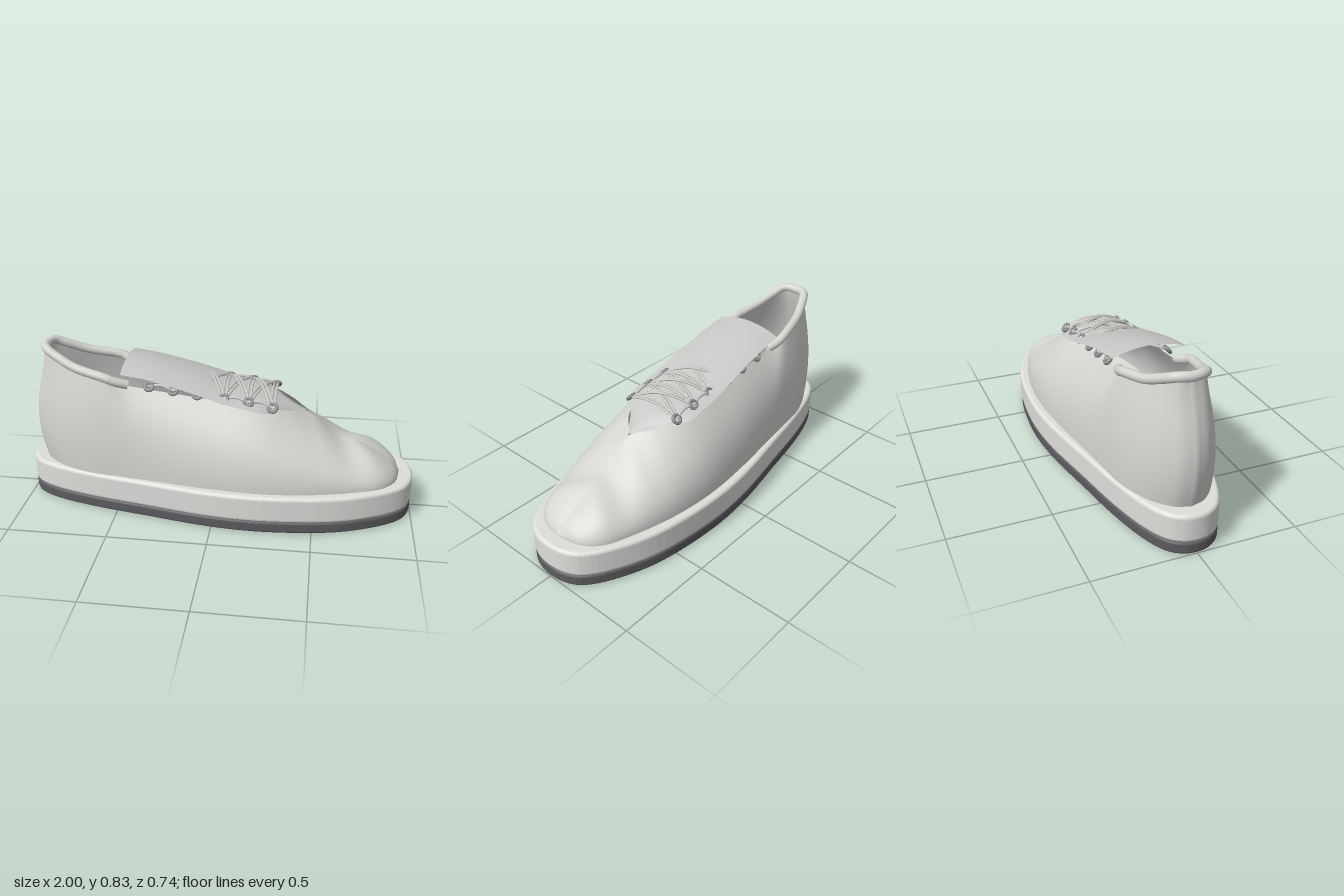
import * as THREE from 'three';

const mat = (name, color, side = THREE.FrontSide) => {
  const m = new THREE.MeshStandardMaterial({ color, side });
  m.name = name;
  return m;
};
const V = (p) => new THREE.Vector3(...p);
const curve = (pts) => new THREE.CatmullRomCurve3(pts.map(V), false, 'catmullrom', 0.5);

// Smooth surface from a rule f(u, v) -> [x, y, z]
function surface(f, nu, nv) {
  const pos = [], idx = [];
  for (let i = 0; i <= nu; i++) {
    for (let j = 0; j <= nv; j++) {
      pos.push(...f(i / nu, j / nv));
      if (i < nu && j < nv) {
        const a = i * (nv + 1) + j, b = a + nv + 1;
        idx.push(a, b, a + 1, b, b + 1, a + 1);
      }
    }
  }
  const g = new THREE.BufferGeometry();
  g.setAttribute('position', new THREE.Float32BufferAttribute(pos, 3));
  g.setIndex(idx);
  g.computeVertexNormals();
  return g;
}

export function createModel() {
  const shoe = new THREE.Group();
  shoe.name = 'shoe';
  const leather = mat('upper grey', 0xd4d4d1, THREE.DoubleSide);
  const tongueGrey = mat('tongue grey', 0xc8c8c6, THREE.DoubleSide);
  const soleWhite = mat('midsole white', 0xdededb);
  const rubber = mat('outsole dark grey', 0x5c5c60);
  const laceGrey = mat('lace light grey', 0xcfcfcc);
  const metal = mat('eyelet grey', 0x8e8e90);
  const add = (name, geo, material, parent = shoe) => {
    const m = new THREE.Mesh(geo, material);
    m.name = name;
    parent.add(m);
    return m;
  };

  // Sole slabs: one footprint, extruded with rounded edges
  const half = [[-1, 0], [-0.985, 0.07], [-0.93, 0.135], [-0.8, 0.195], [-0.6, 0.248], [-0.35, 0.295],
    [-0.05, 0.35], [0.2, 0.37], [0.45, 0.355], [0.65, 0.318], [0.83, 0.245], [0.94, 0.17], [0.987, 0.09], [1, 0]];
  const loop = [...half, ...half.slice(1, -1).reverse().map(([x, z]) => [x, -z])];
  const outline = new THREE.CatmullRomCurve3(loop.map(([x, z]) => new THREE.Vector3(x, z, 0)), true, 'catmullrom', 0.5);
  const footprint = new THREE.Shape(outline.getPoints(112).slice(0, -1).map((p) => new THREE.Vector2(p.x, p.y)));
  const slab = (name, y0, y1, r, material, s = 1) => {
    const g = new THREE.ExtrudeGeometry(footprint, {
      depth: y1 - y0 - 2 * r, bevelEnabled: true, bevelThickness: r, bevelSize: r, bevelOffset: -r, bevelSegments: 4,
    });
    g.rotateX(-Math.PI / 2).translate(0, y0 + r, 0).scale(1, 1, s);
    add(name, g, material);
  };
  slab('outsole', 0, 0.06, 0.012, rubber, 0.988);
  slab('midsole', 0.06, 0.2, 0.018, soleWhite);

  // Upper: each rib rises from the base line to the rim or the toe ridge
  const base = curve([[-0.93, 0.2, 0], [-0.9, 0.2, 0.08], [-0.8, 0.2, 0.165], [-0.65, 0.2, 0.225],
    [-0.48, 0.2, 0.25], [-0.3, 0.2, 0.275], [-0.05, 0.2, 0.31], [0.2, 0.2, 0.33], [0.4, 0.2, 0.32],
    [0.55, 0.2, 0.295], [0.7, 0.2, 0.255], [0.83, 0.2, 0.205], [0.905, 0.2, 0.12], [0.93, 0.2, 0]]);
  const rim = curve([[-0.89, 0.8, 0], [-0.87, 0.8, 0.065], [-0.8, 0.77, 0.1], [-0.7, 0.735, 0.135],
    [-0.56, 0.705, 0.165], [-0.44, 0.66, 0.145], [-0.1, 0.62, 0.15], [0.2, 0.585, 0.15], [0.36, 0.545, 0.09],
    [0.46, 0.505, 0], [0.6, 0.39, 0], [0.72, 0.355, 0], [0.87, 0.27, 0], [0.925, 0.21, 0]]);
  const upper = (u, v) => {
    const s = Math.abs(2 * u - 1), side = u < 0.5 ? -1 : 1;
    const b = base.getPoint(s), t = rim.getPoint(s);
    b.z = Math.max(0, b.z);
    t.z = Math.max(0, t.z);
    const h = t.y - 0.2;
    const heel = Math.max(0, (-b.x - 0.5) / 0.45);
    const toe = THREE.MathUtils.smoothstep(b.x, 0.5, 0.85);
    const p1 = b.clone();
    p1.x -= heel * 0.09;
    p1.y += 0.47 * h;
    const p2 = t.clone().lerp(b, 0.55);
    p2.y = 0.2 + h * (0.72 + 0.23 * toe);
    const p = new THREE.CubicBezierCurve3(b, p1, p2, t).getPoint(v);
    return [p.x, p.y, p.z * side];
  };
  add('upper', surface(upper, 160, 24), leather);

  // Padded collar roll around the ankle opening
  const collarHalf = [[-0.885, 0.806, 0], [-0.865, 0.805, 0.065], [-0.8, 0.775, 0.1], [-0.7, 0.735, 0.135],
    [-0.56, 0.707, 0.165], [-0.5, 0.685, 0.163], [-0.44, 0.665, 0.145]];
  const collar = [...collarHalf.slice(1).reverse().map(([x, y, z]) => [x, y, -z]), ...collarHalf];
  add('collar', new THREE.TubeGeometry(curve(collar), 96, 0.023, 12), leather);

  // Tongue: arched sheet tapering to the throat
  const spine = curve([[-0.465, 0.768, 0], [-0.32, 0.745, 0], [-0.12, 0.695, 0], [0.05, 0.645, 0],
    [0.24, 0.603, 0], [0.34, 0.565, 0], [0.44, 0.515, 0]]);
  const tongueWidth = (x) => THREE.MathUtils.lerp(
    0.185 + 0.015 * THREE.MathUtils.smoothstep(x, -0.4, 0.1), 0.058, THREE.MathUtils.smoothstep(x, 0.2, 0.42));
  add('tongue', surface((u, v) => {
    const p = spine.getPoint(u), k = 2 * v - 1;
    return [p.x, p.y - 0.035 * k * k, k * tongueWidth(p.x)];
  }, 40, 20), tongueGrey);

  // Eyelet rings in two rows
  const eyelets = [[-0.33, 0.665], [-0.21, 0.65], [-0.09, 0.635], [0.04, 0.62], [0.16, 0.608], [0.28, 0.585]];
  const rings = new THREE.Group();
  rings.name = 'eyelets';
  shoe.add(rings);
  for (const [x, y] of eyelets) {
    for (const side of [-1, 1]) {
      const ring = add('eyelet', new THREE.TorusGeometry(0.02, 0.009, 8, 16), metal, rings);
      ring.position.set(x, y, side * 0.152);
      ring.rotation.x = -side * 0.7;
    }
  }

  // Laces: paired strands crossing between rows, with a bar at the front
  const laces = new THREE.Group();
  laces.name = 'laces';
  shoe.add(laces);
  const strand = (a, b, dx, lift) => {
    const pts = [];
    for (let i = 0; i <= 8; i++) {
      const t = i / 8, z = 0.155 * (1 - 2 * t);
      pts.push([a[0] + (b[0] - a[0]) * t + dx, a[1] + (b[1] - a[1]) * t + lift * Math.sin(Math.PI * t), z]);
    }
    add('lace', new THREE.TubeGeometry(curve(pts), 24, 0.006, 6), laceGrey, laces);
  };
  for (let i = 0; i < eyelets.length; i++) {
    const a = eyelets[i], b = eyelets[i + 1];
    for (const dx of [-0.009, 0.009]) {
      if (i >= 3) strand(a, a, dx, 0.038);
      if (b) {
        strand(a, b, dx, 0.04);
        strand(b, a, dx, 0.048);
      }
    }
    // Side runs sagging between neighbouring eyelets
    if (b) {
      for (const side of [-1, 1]) {
        const z = side * 0.15;
        const run = curve([[a[0], a[1], z], [(a[0] + b[0]) / 2, (a[1] + b[1]) / 2 + 0.012, z * 0.95], [b[0], b[1], z]]);
        add('lace run', new THREE.TubeGeometry(run, 10, 0.008, 6), laceGrey, laces);
      }
    }
  }
  return shoe;
}
